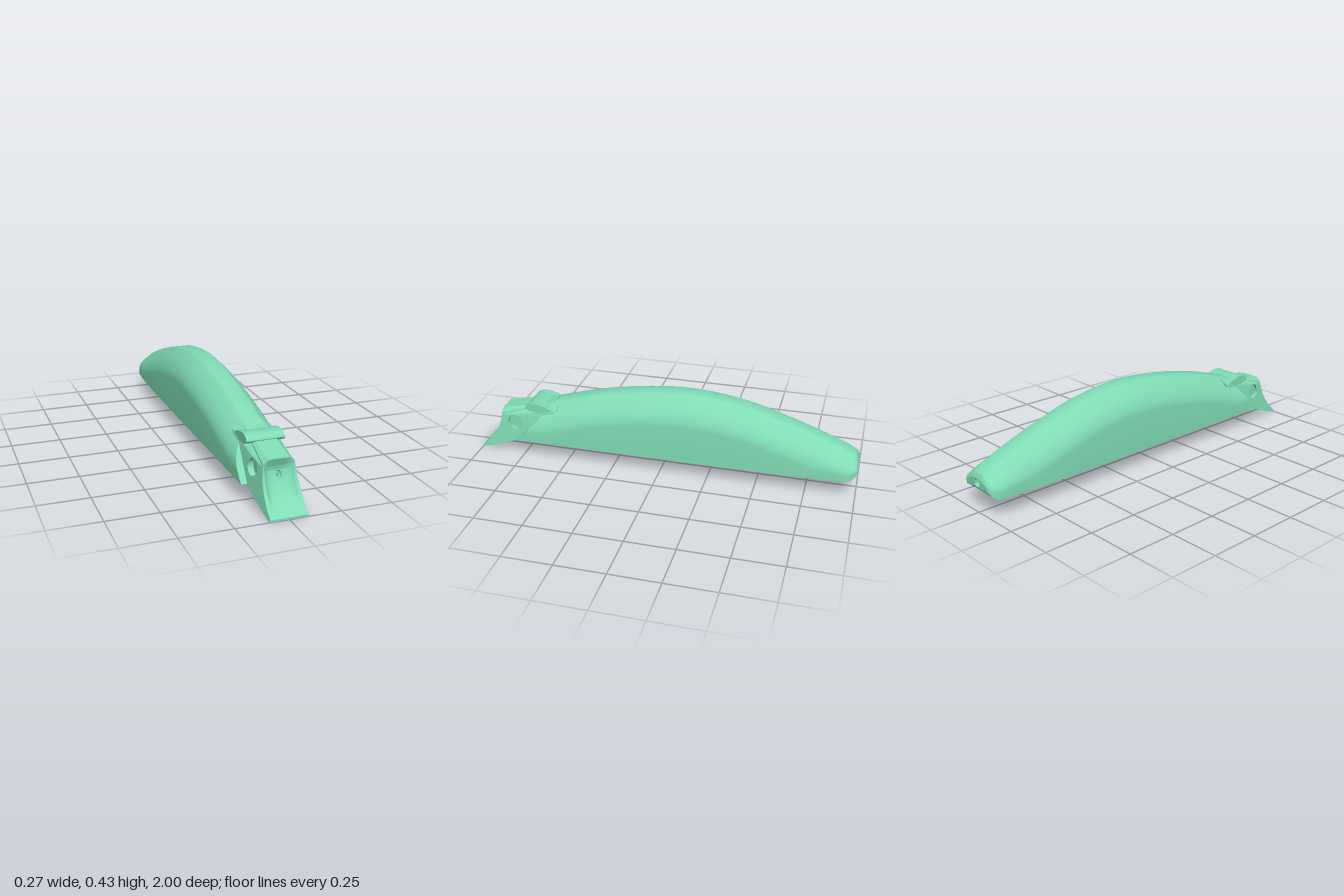
import * as THREE from 'three';
import { toCreasedNormals } from 'three/addons/utils/BufferGeometryUtils.js';

const V2 = (x, y) => new THREE.Vector2(x, y);
const clamp = (v) => Math.min(1, Math.max(0, v));

// Body rule along its length: z, top height, half width
const spine = new THREE.CatmullRomCurve3([
  [-1, 0.17, 0.085], [-0.988, 0.193, 0.103], [-0.95, 0.216, 0.12], [-0.8, 0.277, 0.129],
  [-0.6, 0.345, 0.135], [-0.4, 0.4, 0.136], [-0.13, 0.43, 0.136], [0.15, 0.406, 0.136],
  [0.4, 0.355, 0.136], [0.6, 0.298, 0.136], [0.79, 0.255, 0.136],
].map((p) => new THREE.Vector3(...p))).getPoints(80);

function topAt(z) {
  const i = Math.max(1, spine.findIndex((p) => p.x >= z));
  const a = spine[i - 1], b = spine[i];
  return a.y + (b.y - a.y) * (z - a.x) / (b.x - a.x);
}

// Half section from the ridge, over the shoulder, down to the underside centre
function section(top, bottom, w) {
  const f = w / 0.136, d = Math.min(1, (top - bottom) / 0.2);
  return [
    [0, 0], [0.038, 0], [0.048, 0.005], [0.095, 0.052], [0.112, 0.074], [0.126, 0.1], [0.134, 0.125], [0.136, 0.145],
  ].map(([x, y]) => [x * f, top - y * d]).concat([[w, bottom], [0, bottom]]);
}

// The front end of the body is cut by a slanted plane
const frontPlane = (y) => 0.78 - 0.93 * (y - 0.09);

function bodyRing({ x: z0, y: top, z: w }) {
  const bottom = 0.09 + 0.035 * clamp((-0.95 - z0) / 0.05) ** 2;
  const base = section(top, bottom, w);
  const half = base.map(([x, y], i) => {
    let z = z0;
    if (z0 > 0.3) {
      for (let k = 0; k < 4; k++) {
        z = 0.3 + (z0 - 0.3) / 0.49 * (frontPlane(y) - 0.3);
        y = section(topAt(z), bottom, w)[i][1];
      }
    }
    return [x, y, z];
  });
  const mirrored = half.slice(0, -1).reverse().map(([x, y, z]) => [-x, y, z]);
  return half.concat(mirrored);
}

function bodyGeometry() {
  const rings = spine.map(bodyRing), n = rings[0].length, index = [];
  for (let s = 0; s < rings.length - 1; s++) {
    for (let j = 0; j < n - 1; j++) {
      // the long flat underside is a separate plate
      if ((j === 8 || j === 9) && spine[s + 1].x > -0.949) continue;
      const a = s * n + j, c = a + n;
      index.push(a, c, a + 1, a + 1, c, c + 1);
    }
  }
  // slanted front cap
  const last = (rings.length - 1) * n;
  for (let j = 1; j < n - 2; j++) index.push(last, last + j + 1, last + j);
  const g = new THREE.BufferGeometry();
  g.setAttribute('position', new THREE.Float32BufferAttribute(rings.flat(2), 3));
  g.setIndex(index);
  return toCreasedNormals(g, 0.6);
}

function circleHole(x, y, r) {
  return new THREE.Path().absarc(x, y, r, 0, Math.PI * 2, true);
}

// Neck: outline extruded across, then its width follows a rule
const neckTop = (z) => 0.235 + 0.212 * (0.88 - z);
const CUT = 0.032;

function neckGeometry(outline, hole) {
  const shape = new THREE.Shape(outline.map(([z, y]) => V2(-z, y)));
  if (hole) shape.holes.push(hole);
  const g = new THREE.ExtrudeGeometry(shape, { depth: 2, steps: 44, bevelEnabled: false, curveSegments: 32 });
  g.translate(0, 0, -1).rotateY(Math.PI / 2);
  const p = g.attributes.position;
  for (let i = 0; i < p.count; i++) {
    let y = p.getY(i), z = p.getZ(i);
    const side = 0.222 - 0.144 * y - 0.132 * z;
    const x = p.getX(i) * Math.min(side, 0.05 + 1.4 * (neckTop(z) - y));
    // spoon-shaped dish with a small round recess in the front face
    if (z > 0.875 && y > 0.01) {
      let d = 0.02 * clamp(1 - (x / 0.07) ** 4) * clamp((y - 0.02) / 0.06) * clamp((0.238 - y) / 0.05);
      const r = Math.hypot(x, y - 0.16);
      if (r < 0.018) d += r < 0.007 ? 0.022 : 0.009;
      z -= d;
      y -= d * 0.35;
    }
    p.setXYZ(i, x, y, z);
  }
  return toCreasedNormals(g, 0.6);
}

export function createModel() {
  const group = new THREE.Group();
  const mat = new THREE.MeshStandardMaterial({ color: 0x7fdcb5 });
  const thin = new THREE.MeshStandardMaterial({ color: 0x7fdcb5, side: THREE.DoubleSide });
  const add = (name, geometry, material = mat) => {
    const mesh = new THREE.Mesh(geometry, material);
    mesh.name = name;
    group.add(mesh);
    return mesh;
  };

  add('body', bodyGeometry());

  // Flat underside with two blind holes
  const edge = spine.filter((p) => p.x > -0.9505);
  const right = edge.map((p) => V2(p.z, p.x > 0.3 ? 0.3 + (p.x - 0.3) / 0.49 * 0.48 : p.x));
  const left = right.map((p) => V2(-p.x, p.y)).reverse();
  const plate = new THREE.Shape(right.concat(left));
  const holes = [[0.58, 0.045], [0.38, 0.032]];
  holes.forEach(([z, r]) => plate.holes.push(circleHole(0, z, r)));
  add('underside', new THREE.ShapeGeometry(plate, 24).rotateX(Math.PI / 2).translate(0, 0.09, 0));

  // Sockets: a mouth at the surface stepping down to a floor
  const socket = (name, r, depth, inner) => add(name, toCreasedNormals(new THREE.LatheGeometry([
    V2(r, 0), V2(r, -depth), V2(inner, -depth), V2(inner, -depth * 1.5), V2(0, -depth * 1.5),
  ], 32), 0.6), thin);
  holes.forEach(([z, r]) => {
    const s = socket('undersideSocket', r, 0.05, r * 0.4);
    s.rotation.x = Math.PI;
    s.position.set(0, 0.09, z);
  });

  // Rear end face with a screw socket
  const rear = new THREE.Shape(bodyRing(spine[0]).slice(0, -1).map(([x, y]) => V2(x, y)));
  rear.holes.push(circleHole(0, 0.148, 0.02));
  add('rearFace', new THREE.ShapeGeometry(rear, 24).rotateY(Math.PI).translate(0, 0, -1));
  const rearSocket = socket('rearSocket', 0.02, 0.02, 0.008);
  rearSocket.rotation.x = -Math.PI / 2;
  rearSocket.position.set(0, 0.148, -1);

  // Neck with its concave front, and the chamfered strip on top of it
  const frontCurve = new THREE.SplineCurve([
    V2(0.88, 0.203), V2(0.888, 0.165), V2(0.91, 0.115), V2(0.95, 0.058), V2(1, 0.01),
  ]).getPoints(48).map((p) => [p.x, p.y]);
  add('neck', neckGeometry([
    ...frontCurve, [1, 0], [0.985, 0.002], [0.93, 0.02], [0.76, 0.088], [0.7, 0.1], [0.56, neckTop(0.56) - CUT],
  ], circleHole(-0.8, 0.175, 0.04)));
  add('neckRidge', neckGeometry([
    [0.56, neckTop(0.56)], [0.88, 0.235], [0.88, 0.225], [0.88, 0.214], [0.88, 0.203], [0.56, neckTop(0.56) - CUT],
  ]));

  // Floor of the round recesses in both sides of the neck
  const plug = add('sideRecessFloor', new THREE.CylinderGeometry(0.0405, 0.0405, 0.14, 32));
  plug.rotation.z = Math.PI / 2;
  plug.position.set(0, 0.175, 0.8);

  // Leaf-shaped bar across the ridge
  const leaf = new THREE.Shape(new THREE.SplineCurve([
    V2(-0.585, 0.268), V2(-0.625, 0.25), V2(-0.69, 0.247), V2(-0.73, 0.262),
    V2(-0.728, 0.28), V2(-0.69, 0.294), V2(-0.64, 0.288), V2(-0.585, 0.268),
  ]).getPoints(42).slice(0, -1));
  const bar = new THREE.ExtrudeGeometry(leaf, { depth: 0.186, bevelEnabled: false });
  add('crossbar', toCreasedNormals(bar.translate(0, 0, -0.093).rotateY(Math.PI / 2), 0.6));

  return group;
}
